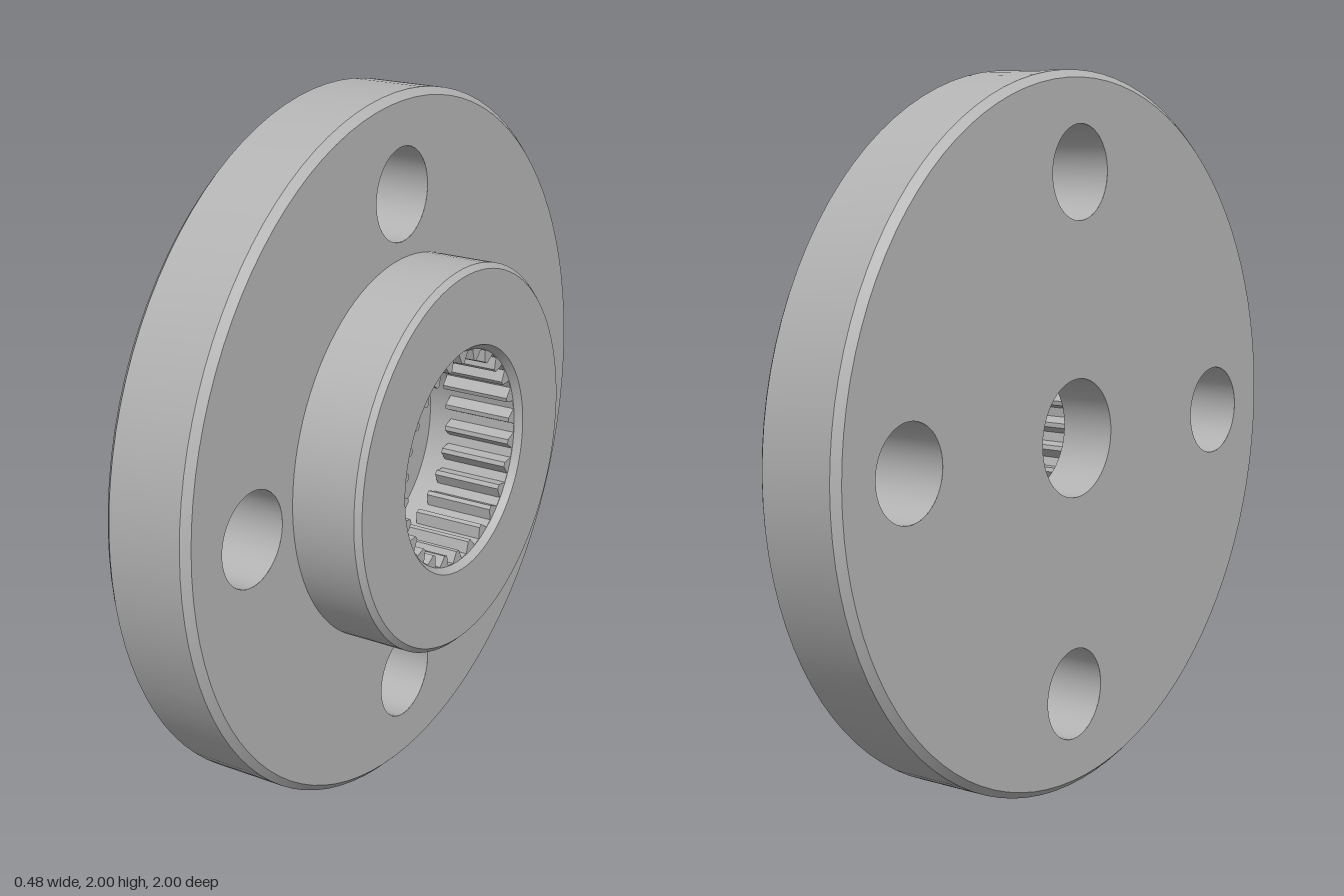
import * as THREE from 'three';
import { toCreasedNormals } from 'three/addons/utils/BufferGeometryUtils.js';

// Positions along the axle (x) and radii
const BACK = -0.23, FRONT = 0.028, HUB = 0.232, FLOOR = -0.07;
const R = 1, HUB_R = 0.55, CENTRE_R = 0.165, BOLT_R = 0.13, BOLT_AT = 0.727;
const TEETH = 26;

function circlePath(cx, cy, r) {
  return new THREE.Path().absarc(cx, cy, r, 0, Math.PI * 2, true);
}

// Flat round plate pierced by the four bolt holes and a middle opening
function piercedDisc(outer, inner) {
  const shape = new THREE.Shape().absarc(0, 0, outer, 0, Math.PI * 2, false);
  shape.holes.push(circlePath(0, 0, inner));
  for (let i = 0; i < 4; i++) {
    const a = i * Math.PI / 2;
    shape.holes.push(circlePath(Math.cos(a) * BOLT_AT, Math.sin(a) * BOLT_AT, BOLT_R));
  }
  return new THREE.ShapeGeometry(shape, 48);
}

// Surface of revolution about x from [x, radius] pairs, sharp at the corners
function turned(profile) {
  const geo = new THREE.LatheGeometry(profile.map(([x, r]) => new THREE.Vector2(r, x)), 96);
  return toCreasedNormals(geo.rotateZ(-Math.PI / 2), 0.4);
}

export function createModel() {
  const steel = new THREE.MeshStandardMaterial({ color: 0xb4b4b4 });
  steel.name = 'steel grey';
  const body = new THREE.Group();
  body.name = 'flangedHub';
  const add = (name, geo) => {
    const mesh = new THREE.Mesh(geo, steel);
    mesh.name = name;
    body.add(mesh);
    return mesh;
  };

  // Flange rim with chamfered edges
  add('flangeRim', turned([
    [BACK, R - 0.02], [BACK + 0.02, R], [FRONT - 0.02, R], [FRONT, R - 0.02],
  ]));

  // Hub wall, end face, chamfered bore, bore floor and centre hole
  add('hub', turned([
    [FRONT, HUB_R], [HUB - 0.015, HUB_R], [HUB, HUB_R - 0.015],
    [HUB, 0.325], [HUB - 0.02, 0.31], [FLOOR, 0.31],
    [FLOOR, CENTRE_R], [BACK, CENTRE_R],
  ]));

  // Flange faces
  add('flangeFront', piercedDisc(R - 0.02, HUB_R).rotateY(Math.PI / 2)).position.x = FRONT;
  add('flangeBack', piercedDisc(R - 0.02, CENTRE_R).rotateY(-Math.PI / 2)).position.x = BACK;

  // Inward-facing bolt hole walls
  for (let i = 0; i < 4; i++) {
    const a = i * Math.PI / 2;
    const wall = new THREE.LatheGeometry(
      [new THREE.Vector2(BOLT_R, FRONT), new THREE.Vector2(BOLT_R, BACK)], 48);
    wall.rotateZ(-Math.PI / 2);
    add('boltHole', wall).position.set(0, Math.sin(a) * BOLT_AT, Math.cos(a) * BOLT_AT);
  }

  // Ring of internal spline teeth near the mouth of the bore
  const ring = new THREE.Shape().absarc(0, 0, 0.33, 0, Math.PI * 2, false);
  const teeth = [];
  const pitch = Math.PI * 2 / TEETH;
  for (let i = 0; i < TEETH; i++) {
    for (const [t, r] of [[0, 0.308], [0.36, 0.308], [0.58, 0.277], [0.78, 0.277]]) {
      const a = -(i + t) * pitch;
      teeth.push(new THREE.Vector2(Math.cos(a) * r, Math.sin(a) * r));
    }
  }
  ring.holes.push(new THREE.Path(teeth));
  const splineDepth = 0.21;
  const spline = new THREE.ExtrudeGeometry(ring, { depth: splineDepth, bevelEnabled: false, curveSegments: 48 });
  add('splineTeeth', spline.rotateY(Math.PI / 2)).position.x = HUB - 0.02 - splineDepth;

  // Slight lean of the axle
  body.rotation.set(0, -0.0075, 0.0075);
  body.position.y = 1;

  const model = new THREE.Group();
  model.name = 'splinedFlange';
  model.add(body);
  return model;
}
